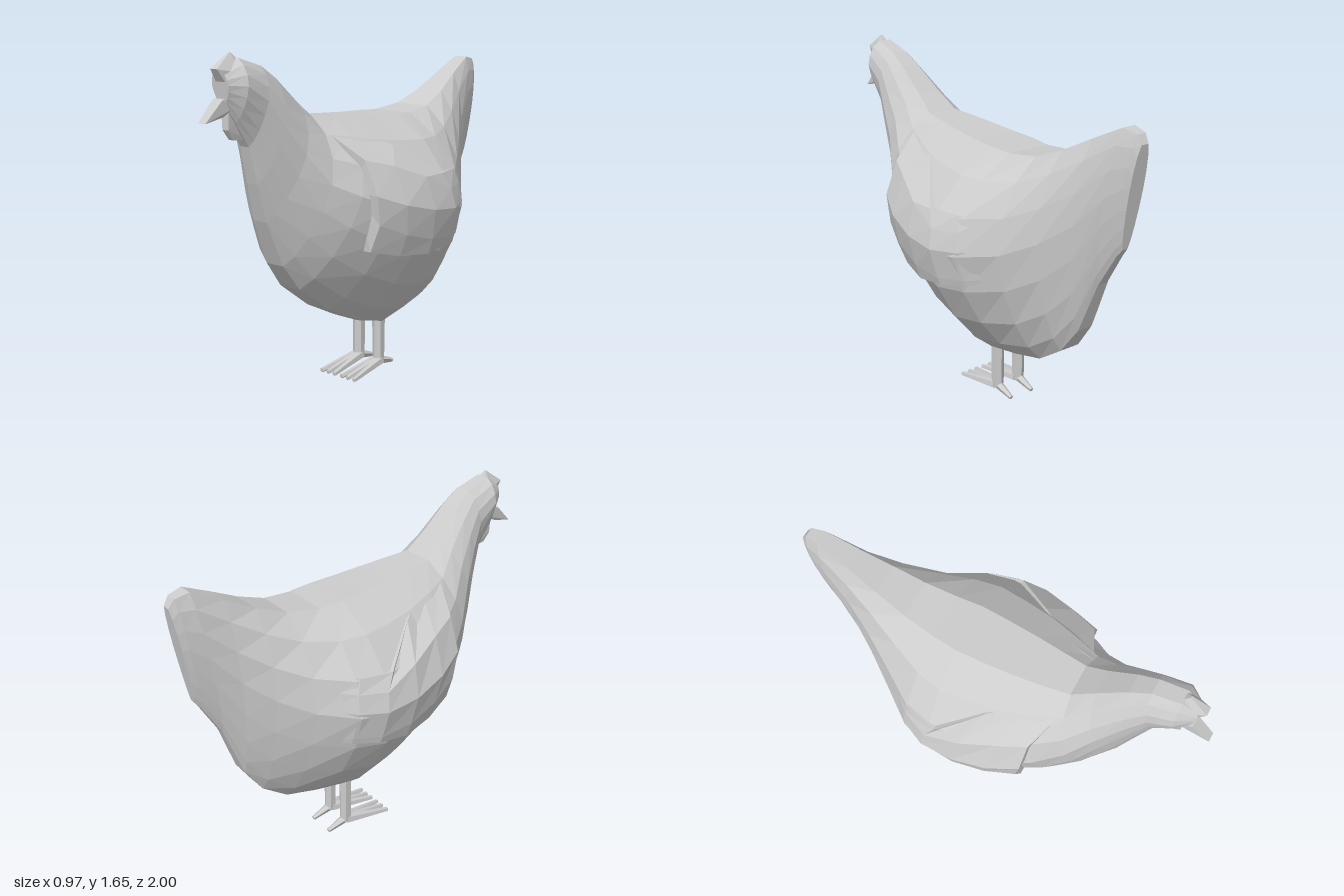
import * as THREE from 'three';
import { ConvexGeometry } from 'three/addons/geometries/ConvexGeometry.js';

const { lerp, smoothstep } = THREE.MathUtils;
const material = new THREE.MeshStandardMaterial({ color: 0xcccccc, flatShading: true });

// Contour of a section: heights from top to bottom, and width relative to the widest point
const LEVELS = [0, 0.1, 0.25, 0.42, 0.6, 0.78, 0.92, 1];
const FULLNESS = [0.26, 0.62, 0.9, 1, 0.88, 0.65, 0.39, 0.17];

// Body sections from head to tail: top z, top y, bottom z, bottom y, half width
const SECTIONS = [
  [0.91, 1.58, 0.89, 1.44, 0.05],
  [0.83, 1.63, 0.84, 1.36, 0.1],
  [0.70, 1.59, 0.77, 1.25, 0.11],
  [0.61, 1.53, 0.72, 1.08, 0.14],
  [0.48, 1.42, 0.66, 0.90, 0.19],
  [0.38, 1.34, 0.56, 0.68, 0.26],
  [0.25, 1.33, 0.46, 0.55, 0.34],
  [0.12, 1.32, 0.27, 0.41, 0.41],
  [-0.03, 1.31, 0.07, 0.31, 0.45],
  [-0.17, 1.305, -0.12, 0.26, 0.47],
  [-0.29, 1.30, -0.30, 0.29, 0.43],
  [-0.45, 1.32, -0.47, 0.33, 0.31],
  [-0.60, 1.38, -0.60, 0.42, 0.21],
  [-0.75, 1.46, -0.69, 0.55, 0.13],
  [-0.90, 1.535, -0.785, 0.80, 0.08],
  [-0.97, 1.52, -0.88, 0.96, 0.055],
  [-0.995, 1.48, -0.91, 1.00, 0.04],
];

// Point on one side of a section at level v; narrow sections are boxier, the head turns a little
function sectionPoint([zTop, yTop, zBottom, yBottom, width], v, side) {
  let k = 0;
  while (k < LEVELS.length - 2 && v > LEVELS[k + 1]) k++;
  const f = (v - LEVELS[k]) / (LEVELS[k + 1] - LEVELS[k]);
  const boxiness = lerp(zTop > 0 ? 0.75 : 0.5, 1, Math.min(1, width / 0.4));
  const full = lerp(FULLNESS[k], FULLNESS[k + 1], f) ** boxiness;
  const cx = 0.045 * smoothstep(zTop, 0.3, 0.75) - 0.02 * smoothstep(-zTop, 0.5, 0.95);
  return new THREE.Vector3(cx + side * width * full, lerp(yTop, yBottom, v), lerp(zTop, zBottom, v));
}

// Point on the body skin at fractional section s and level v
function skinPoint(s, v, side) {
  const i = Math.floor(s);
  return sectionPoint(SECTIONS[i], v, side).lerp(sectionPoint(SECTIONS[i + 1], v, side), s - i);
}

// Closed skin through rings running front to back (clockwise seen from the front)
function loft(rings) {
  const n = rings[0].length;
  const points = rings.flat();
  const index = [];
  for (let j = 0; j < rings.length - 1; j++) {
    for (let i = 0; i < n; i++) {
      const a = j * n + i;
      const b = j * n + (i + 1) % n;
      index.push(a, b, a + n, b, b + n, a + n);
    }
  }
  const centre = (ring) => ring.reduce((sum, p) => sum.add(p), new THREE.Vector3()).divideScalar(n);
  const front = points.push(centre(rings[0])) - 1;
  const back = points.push(centre(rings[rings.length - 1])) - 1;
  const last = (rings.length - 1) * n;
  for (let i = 0; i < n; i++) {
    const next = (i + 1) % n;
    index.push(front, next, i, back, last + i, last + next);
  }
  const geometry = new THREE.BufferGeometry().setFromPoints(points);
  geometry.setIndex(index);
  geometry.computeVertexNormals();
  return geometry;
}

// Folded wing: a patch of the body skin, raised in front, fading out behind, closed inside.
// Its top blends into the shoulder, then drops to a free edge toward the tip.
function wingGeometry(side) {
  const frontEdge = [5, 5.9, 6.2, 6.5, 6.6];
  const rings = [0, 0.2, 0.42, 0.65, 0.84, 1].map((t) => {
    const lift = 0.045 - 0.055 * t * t;
    const drop = smoothstep(t, 0.3, 0.6);
    const levels = [
      lerp(0.06, 0.24, drop), lerp(0.22, 0.31, drop), 0.4, 0.54,
      lerp(0.68, 0.57, Math.min(1, t * 1.5)),
    ];
    const outer = levels.map((v, k) => {
      const p = skinPoint(lerp(frontEdge[k], 10.8, t), v, side);
      p.x += side * lift * (k === 0 ? drop : 1);
      return p;
    });
    const inner = outer.map((p) => p.clone().setX(p.x - side * 0.09)).reverse();
    const ring = [...outer, ...inner];
    return side > 0 ? ring : ring.reverse();
  });
  return loft(rings);
}

// Tapered round bar between two points
function bar(from, to, r0, r1, sides) {
  const a = new THREE.Vector3(...from);
  const d = new THREE.Vector3(...to).sub(a);
  const geometry = new THREE.CylinderGeometry(r1, r0, d.length(), sides);
  geometry.translate(0, d.length() / 2, 0);
  geometry.applyQuaternion(new THREE.Quaternion().setFromUnitVectors(new THREE.Vector3(0, 1, 0), d.normalize()));
  return geometry.translate(a.x, a.y, a.z);
}

// Faceted solid around side-view points [halfWidth, y, z], mirrored about x = cx
function facets(cx, list) {
  return new ConvexGeometry(list.flatMap(([w, y, z]) => [
    new THREE.Vector3(cx + w, y, z), new THREE.Vector3(cx - w, y, z),
  ]));
}

export function createModel() {
  const hen = new THREE.Group();
  hen.name = 'hen';
  const add = (name, geometry, parent = hen) => {
    const mesh = new THREE.Mesh(geometry, material);
    mesh.name = name;
    parent.add(mesh);
  };

  // Body with neck, head and tail
  add('body', loft(SECTIONS.map((section) => [
    ...LEVELS.map((v) => sectionPoint(section, v, 1)),
    ...LEVELS.map((v) => sectionPoint(section, v, -1)).reverse(),
  ])));

  add('leftWing', wingGeometry(1));
  add('rightWing', wingGeometry(-1));

  // Head details
  add('comb', facets(0.05, [
    [0.02, 1.59, 0.94], [0.004, 1.655, 0.85], [0.02, 1.62, 0.82], [0.055, 1.57, 0.84], [0.03, 1.53, 0.9],
  ]));
  add('beak', facets(0.035, [
    [0.03, 1.47, 0.87], [0.035, 1.42, 0.86], [0.025, 1.39, 0.9], [0.022, 1.37, 1.0], [0.03, 1.46, 0.91],
  ]));
  add('wattle', facets(0.035, [
    [0.025, 1.45, 0.87], [0.018, 1.33, 0.87], [0.012, 1.285, 0.84], [0.02, 1.28, 0.76], [0.03, 1.4, 0.78],
  ]));

  // Legs with three front toes and one back toe
  for (const [name, x] of [['leftLeg', 0.048], ['rightLeg', -0.082]]) {
    const leg = new THREE.Group();
    leg.name = name;
    hen.add(leg);
    add('shank', bar([x, 0.035, -0.13], [x, 0.32, -0.13], 0.03, 0.033, 6), leg);
    for (const dx of [-0.042, 0, 0.042]) {
      add('frontToe', bar([x + dx * 0.3, 0.045, -0.13], [x + dx, 0.013, 0.11], 0.024, 0.012, 5), leg);
    }
    add('backToe', bar([x, 0.045, -0.13], [x, 0.013, -0.24], 0.024, 0.011, 5), leg);
  }
  return hen;
}
